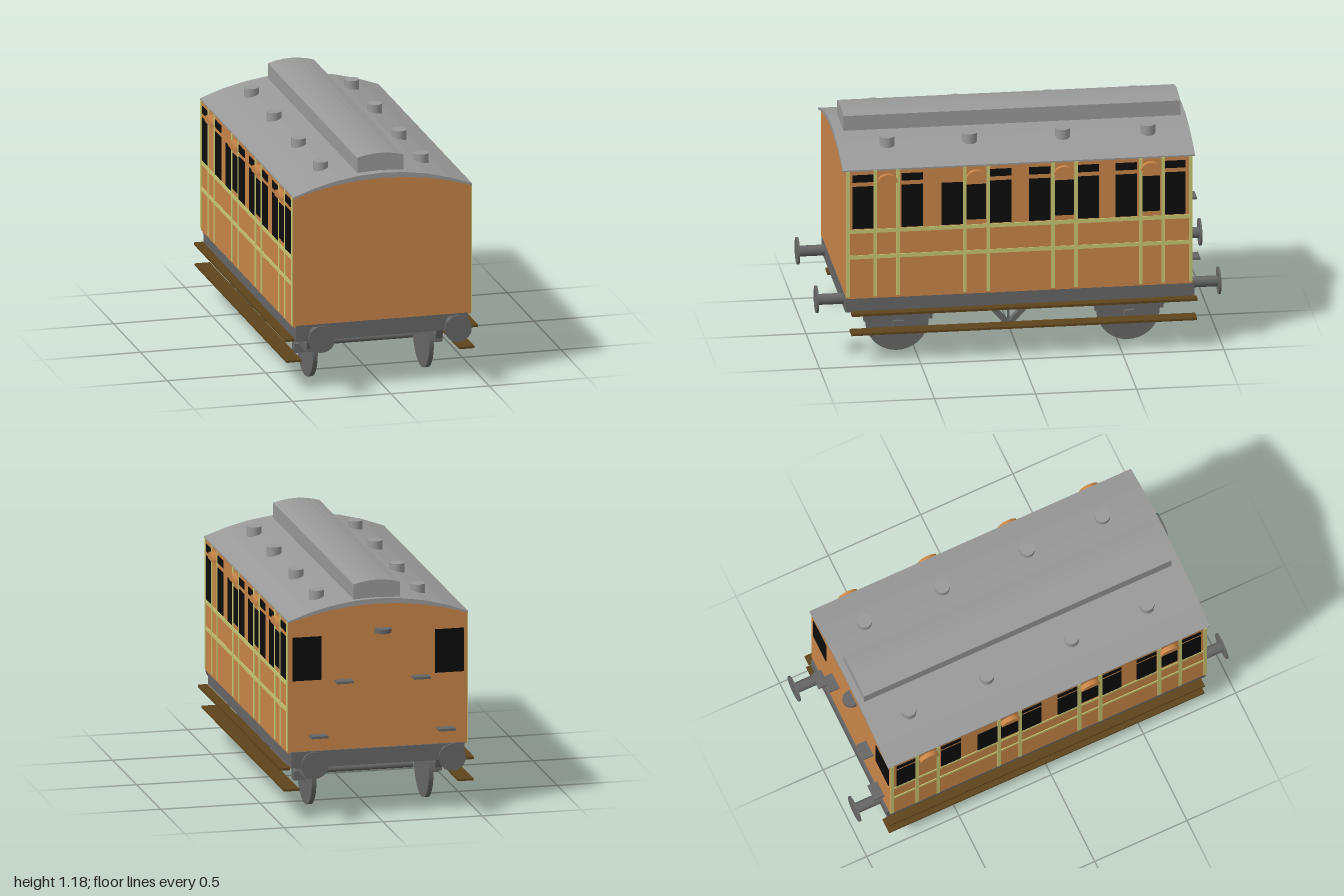
import * as THREE from 'three';

const mat = (name, color) => Object.assign(new THREE.MeshStandardMaterial({ color }), { name });

export function createModel() {
  const teak = mat('teak orange', 0xc88548);
  const roofGrey = mat('roof grey', 0x999999);
  const iron = mat('iron grey', 0x666666);
  const glass = mat('window black', 0x0c0c0c);
  const lining = mat('lining yellow', 0xcac873);
  const wood = mat('step brown', 0x5e451c);

  const root = new THREE.Group();
  root.name = 'carriage';
  const CX = -0.0075, HALF = 0.4525; // body centre line and half width

  const add = (parent, name, geo, m, x = 0, y = 0, z = 0) => {
    const mesh = new THREE.Mesh(geo, m);
    mesh.name = name;
    mesh.position.set(x, y, z);
    parent.add(mesh);
    return mesh;
  };
  const box = (parent, name, m, w, h, d, x, y, z) =>
    add(parent, name, new THREE.BoxGeometry(w, h, d), m, x, y, z);
  // Box given by its limits in y and z
  const span = (parent, name, m, w, x, y0, y1, z0, z1) =>
    box(parent, name, m, w, y1 - y0, Math.abs(z1 - z0), x, (y0 + y1) / 2, (z0 + z1) / 2);
  const group = (name, parent, x = 0, z = 0) => {
    const g = new THREE.Group();
    g.name = name;
    g.position.set(x, 0, z);
    parent.add(g);
    return g;
  };
  // Points of a shallow arch, running from +half to -half
  const arch = (half, base, rise, n = 8) => Array.from({ length: n + 1 }, (_, i) => {
    const t = 1 - 2 * i / n;
    return new THREE.Vector2(half * t, base + rise * (1 - t * t));
  });
  const prism = (pts, z0, z1) => new THREE.ExtrudeGeometry(new THREE.Shape(pts),
    { depth: z1 - z0, bevelEnabled: false }).translate(0, 0, z0);
  // Flat bar between two points in the y-z plane
  const strut = (parent, name, w, t, x, y0, z0, y1, z1) => {
    const b = box(parent, name, iron, w, t, Math.hypot(y1 - y0, z1 - z0), x, (y0 + y1) / 2, (z0 + z1) / 2);
    b.rotation.x = -Math.atan2(y1 - y0, z1 - z0);
    return b;
  };

  // Body with arched ends
  add(root, 'body', prism([new THREE.Vector2(-HALF, 0.335), new THREE.Vector2(HALF, 0.335),
    ...arch(HALF, 1.0, 0.072)], -0.853, 0.862), teak, CX);

  // Roof, raised centre section and vents
  add(root, 'roof', prism([...arch(HALF + 0.001, 1.006, 0.091),
    ...arch(HALF + 0.001, 0.998, 0.073).reverse()], -0.865, 0.878), roofGrey, CX);
  add(root, 'raisedRoof', prism([new THREE.Vector2(-0.117, 1.06), new THREE.Vector2(0.117, 1.06),
    ...arch(0.117, 1.167, 0.018, 6)], -0.837, 0.83), roofGrey, CX);
  for (const x of [-0.257, 0.253])
    for (const z of [-0.657, -0.235, 0.225, 0.633])
      add(root, 'roofVent', new THREE.CylinderGeometry(0.037, 0.037, 0.058, 16), roofGrey, x, 1.079, z);

  // Side panelling, the second side turned half round
  const hoodGeo = new THREE.ExtrudeGeometry(
    new THREE.Shape([...Array(13).keys()].map(i => new THREE.Vector2(
      0.05 * Math.cos(Math.PI * i / 12), 0.042 * Math.sin(Math.PI * i / 12)))),
    { depth: 0.026, bevelEnabled: false }).rotateY(Math.PI / 2);
  for (const turn of [0, Math.PI]) {
    const side = group(turn ? 'rightSide' : 'leftSide', root, CX, 0.005);
    side.rotation.y = turn;
    for (const z of [0.772, 0.53, 0.332, 0.092, -0.102, -0.34, -0.53, -0.77]) {
      span(side, 'window', glass, 0.006, HALF, 0.7, 0.92, z - 0.053, z + 0.053);
      if (z !== 0.332) span(side, 'topLight', glass, 0.006, HALF, 0.942, 0.98, z - 0.053, z + 0.053);
    }
    for (const z of [0.213, -0.223, -0.649])
      span(side, 'doorWindow', glass, 0.006, HALF, 0.722, 0.905, z - 0.047, z + 0.047);
    for (const z of [0.848, 0.713, 0.6, 0.27, 0.154, -0.166, -0.28, -0.6, -0.712, -0.848])
      span(side, 'uprightLining', lining, 0.008, HALF, 0.345, 1.0, z - 0.009, z + 0.009);
    for (const y of [0.686, 0.552])
      span(side, 'lengthLining', lining, 0.007, HALF, y - 0.01, y + 0.01, -0.857, 0.857);
    for (const z of [0.653, 0.213, -0.22, -0.65])
      add(side, 'doorHood', hoodGeo, teak, HALF - 0.002, 0.94, z);
  }

  // Back end: windows, foot rests and lamp bracket
  for (const x of [0.348, -0.37])
    box(root, 'endWindow', glass, 0.145, 0.22, 0.006, x, 0.81, -0.853);
  for (const [x, y] of [[0.167, 0.69], [-0.222, 0.69], [0.295, 0.42], [-0.348, 0.42]])
    box(root, 'footRest', iron, 0.084, 0.012, 0.056, x, y, -0.877);
  const bracket = add(root, 'lampBracket', new THREE.CylinderGeometry(0.042, 0.042, 0.022, 20),
    iron, -0.032, 0.935, -0.863);
  bracket.scale.z = 1.05;

  // Underframe and buffers
  span(root, 'underframe', iron, 0.875, CX, 0.26, 0.342, -0.863, 0.863);
  for (const s of [-1, 1])
    for (const x of [-0.35, 0.343]) {
      add(root, 'bufferShaft', new THREE.CylinderGeometry(0.027, 0.027, 0.15, 20).rotateX(Math.PI / 2),
        iron, x, 0.303, s * 0.92);
      add(root, 'bufferHead', new THREE.CylinderGeometry(0.068, 0.068, 0.01, 28).rotateX(Math.PI / 2),
        iron, x, 0.305, s * 0.995);
    }

  // Running gear
  const gear = group('runningGear', root, -0.018);
  for (const z of [0.588, -0.555]) {
    add(gear, 'axle', new THREE.CylinderGeometry(0.017, 0.017, 0.478, 16).rotateZ(Math.PI / 2), iron, 0, 0.168, z);
    for (const s of [-1, 1]) {
      add(gear, 'wheel', new THREE.CylinderGeometry(0.156, 0.156, 0.023, 36).rotateZ(Math.PI / 2),
        iron, s * 0.295, 0.156, z);
      span(gear, 'spring', iron, 0.036, s * 0.327, 0.17, 0.212, z - 0.17, z + 0.17);
      span(gear, 'axleBox', iron, 0.056, s * 0.338, 0.126, 0.172, z - 0.025, z + 0.025);
      for (const e of [-1, 1])
        strut(gear, 'springHanger', 0.034, 0.026, s * 0.328, 0.175, z + e * 0.15, 0.265, z + e * 0.19);
    }
  }
  // Central truss on each side
  for (const s of [-1, 1]) {
    for (const e of [-1, 1])
      strut(gear, 'trussArm', 0.035, 0.025, s * 0.36, 0.132, 0.045, 0.268, 0.045 + e * 0.125);
    span(gear, 'trussRod', iron, 0.012, s * 0.36, 0.125, 0.265, 0.04, 0.05);
  }

  // Running boards
  for (const s of [-1, 1]) {
    span(root, 'upperStep', wood, 0.048, -0.0015 + s * 0.465, 0.256, 0.268, -0.872, 0.838);
    span(root, 'lowerStep', wood, 0.077, -0.0088 + s * 0.439, 0.149, 0.16, -0.872, 0.838);
  }
  return root;
}
